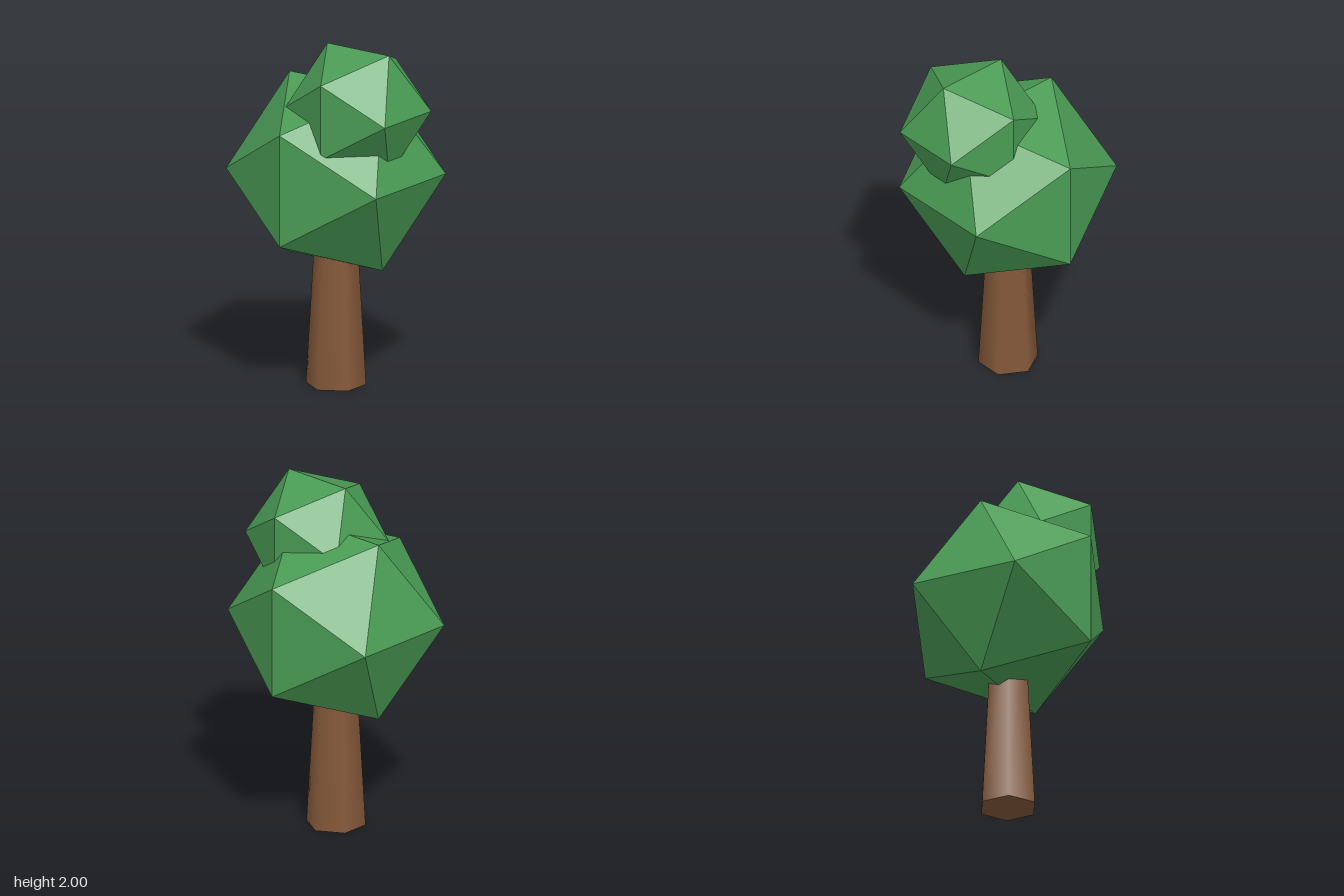
import * as THREE from 'three';

export function createModel() {
  const tree = new THREE.Group();
  tree.name = 'tree';

  const leafGreen = new THREE.MeshStandardMaterial({ color: 0x4a9c55 });
  leafGreen.name = 'leafGreen';
  leafGreen.flatShading = true;
  const barkBrown = new THREE.MeshStandardMaterial({ color: 0x85593a });
  barkBrown.name = 'barkBrown';

  const addPart = (name, geometry, material, x, y, z) => {
    const mesh = new THREE.Mesh(geometry, material);
    mesh.name = name;
    mesh.position.set(x, y, z);
    tree.add(mesh);
  };

  // Tapered six-sided trunk, reaching up into the foliage
  const trunkHeight = 1.0;
  addPart('trunk', new THREE.CylinderGeometry(0.113, 0.17, trunkHeight, 6), barkBrown, -0.017, trunkHeight / 2, 0);

  // Two overlapping faceted masses of foliage
  addPart('mainFoliage', new THREE.IcosahedronGeometry(0.618, 0), leafGreen, -0.017, 1.24, 0);
  addPart('upperFoliage', new THREE.IcosahedronGeometry(0.411, 0), leafGreen, 0.19, 1.65, 0.068);

  return tree;
}
